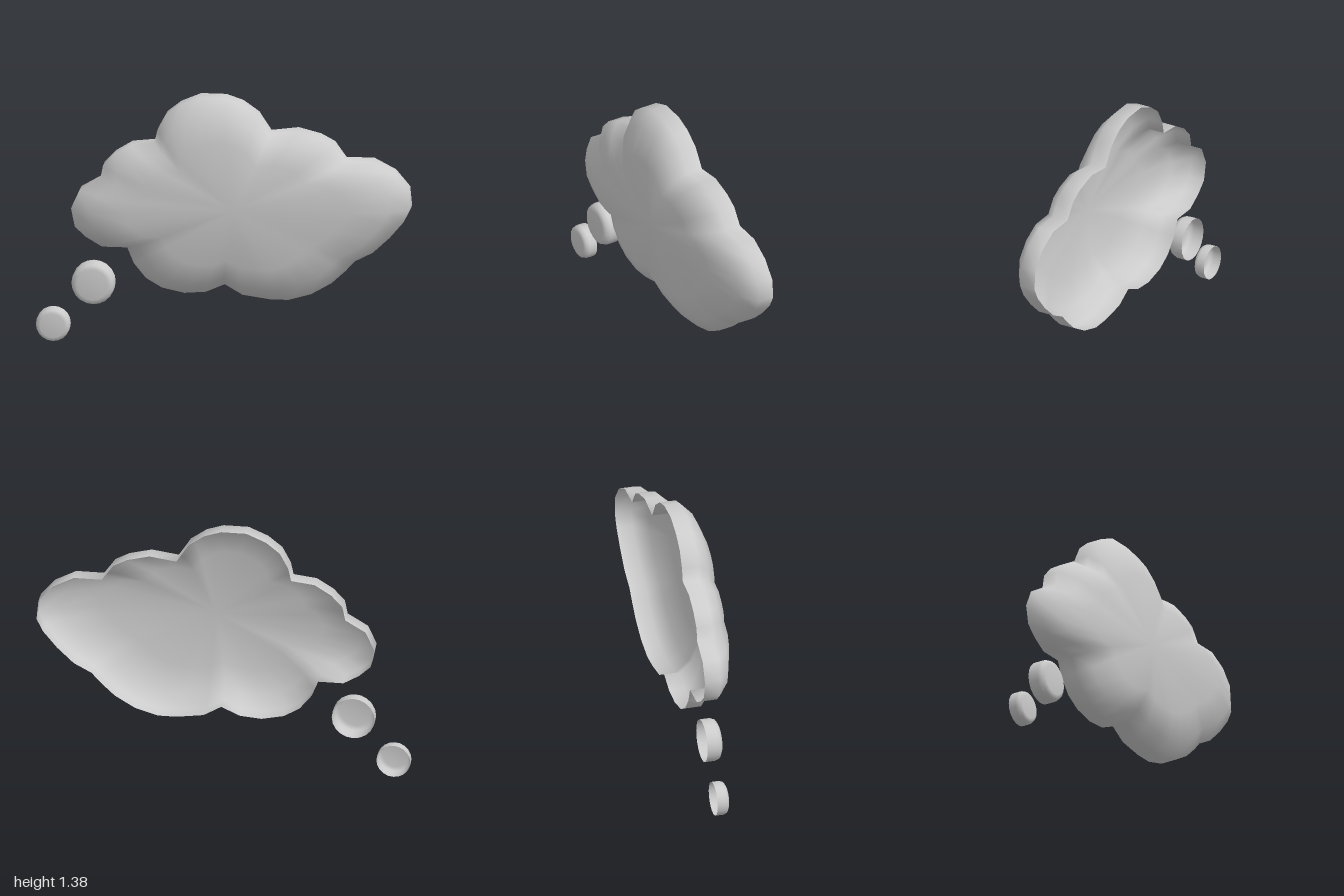
import * as THREE from 'three';

const material = new THREE.MeshStandardMaterial({ color: 0xcccccc, side: THREE.DoubleSide });

// Scalloped cloud outline, counter-clockwise from the top lobe, as [x, y]
const outline = [
  [0.01, 1.38], [-0.125, 1.38], [-0.23, 1.335], [-0.305, 1.275], [-0.35, 1.19], [-0.365, 1.12],
  [-0.49, 1.105], [-0.58, 1.05], [-0.64, 0.985], [-0.655, 0.91],
  [-0.765, 0.845], [-0.81, 0.745], [-0.79, 0.645], [-0.73, 0.59], [-0.645, 0.54], [-0.51, 0.54],
  [-0.475, 0.455], [-0.41, 0.375], [-0.325, 0.325], [-0.205, 0.3], [-0.09, 0.31], [0.01, 0.355],
  [0.105, 0.3], [0.25, 0.28], [0.35, 0.28], [0.47, 0.315], [0.58, 0.38], [0.655, 0.45], [0.705, 0.505],
  [0.8, 0.555], [0.89, 0.64], [0.965, 0.73], [1, 0.8], [0.99, 0.905], [0.915, 0.995], [0.8, 1.055],
  [0.65, 1.055], [0.59, 1.14], [0.515, 1.18], [0.395, 1.21],
  [0.25, 1.19], [0.185, 1.29], [0.1, 1.35],
];

// Cross-sections of the shell from open back to front: z, scale in x, scale in y
const sections = [
  [-0.108, 1, 1],
  [-0.02, 1, 1],
  [0.048, 0.887, 0.87],
  [0.108, 0.657, 0.625],
];

// Open-backed shell: shrinking outline rings closed by a fan at the front
function cloudGeometry() {
  const [cx, cy] = [0.07, 0.8];
  const n = outline.length;
  const positions = [];
  const index = [];
  for (const [z, sx, sy] of sections) {
    for (const [x, y] of outline) positions.push(cx + (x - cx) * sx, cy + (y - cy) * sy, z);
  }
  const centre = positions.length / 3;
  positions.push(cx, cy, 0.108);
  for (let i = 0; i < n; i++) {
    const k = (i + 1) % n;
    for (let j = 0; j < sections.length - 1; j++) {
      const a = j * n + i, b = j * n + k;
      index.push(a, b, b + n, a, b + n, a + n);
    }
    const last = (sections.length - 1) * n;
    index.push(last + i, last + k, centre);
  }
  const geometry = new THREE.BufferGeometry();
  geometry.setAttribute('position', new THREE.Float32BufferAttribute(positions, 3));
  geometry.setIndex(index);
  geometry.computeVertexNormals();
  return geometry;
}

// Small open-backed round cap with a rounded front edge
function bubble(name, x, y, radius, back, front) {
  const bevel = radius * 0.3;
  const profile = [
    [radius, back],
    [radius, front - bevel],
    [radius * 0.92, front - bevel * 0.35],
    [radius * 0.72, front],
    [0, front],
  ].map(([r, h]) => new THREE.Vector2(r, h));
  const geometry = new THREE.LatheGeometry(profile, 20);
  geometry.rotateX(Math.PI / 2);
  const mesh = new THREE.Mesh(geometry, material);
  mesh.name = name;
  mesh.position.set(x, y, 0);
  return mesh;
}

export function createModel() {
  const group = new THREE.Group();
  group.name = 'thoughtBubble';

  const cloud = new THREE.Mesh(cloudGeometry(), material);
  cloud.name = 'cloud';

  group.add(
    cloud,
    bubble('largeBubble', -0.695, 0.33, 0.115, -0.093, -0.003),
    bubble('smallBubble', -0.91, 0.093, 0.091, -0.09, -0.02),
  );
  return group;
}
